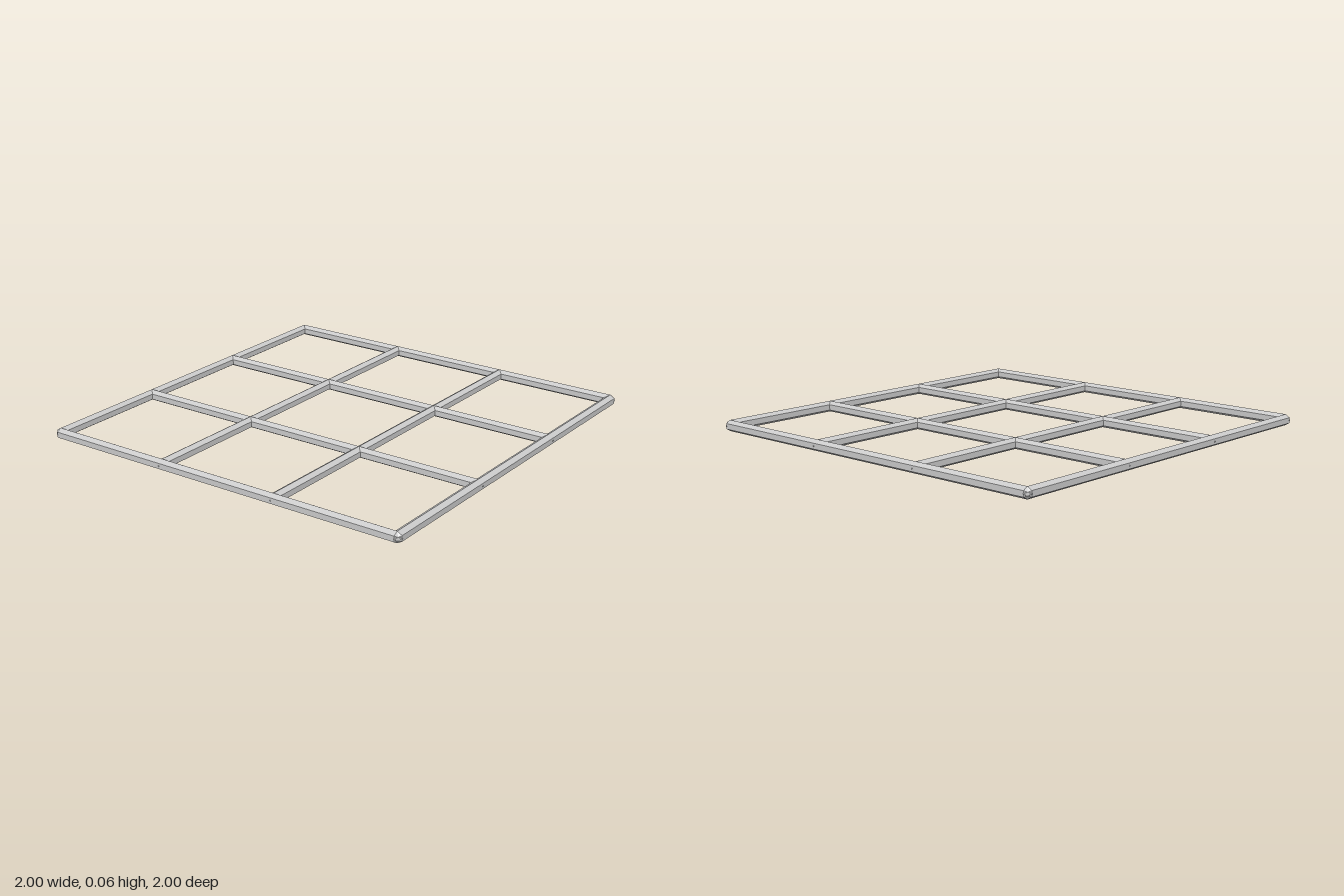
import * as THREE from 'three';

export function createModel() {
  const group = new THREE.Group();
  const material = new THREE.MeshStandardMaterial({ color: 0xcccccc, flatShading: true });
  const radius = 0.028;
  const reach = 1 - radius;

  // Six-sided bar along z, ridge up, with pointed ends
  const bar = new THREE.CapsuleGeometry(radius, 2 * reach, 1, 6);
  bar.rotateY(Math.PI / 2);
  bar.rotateX(Math.PI / 2);

  // Four bars each way form a three by three grid
  for (let i = 0; i < 4; i++) {
    const offset = -reach + (i * 2 * reach) / 3;
    const edge = i === 0 || i === 3;

    const lengthwise = new THREE.Mesh(bar, material);
    lengthwise.name = edge ? 'sideRail' : 'lengthwiseBar';
    lengthwise.position.set(offset, radius, 0);

    const crosswise = new THREE.Mesh(bar, material);
    crosswise.name = edge ? 'endRail' : 'crossBar';
    crosswise.rotation.y = Math.PI / 2;
    crosswise.position.set(0, radius, offset);

    group.add(lengthwise, crosswise);
  }
  return group;
}
